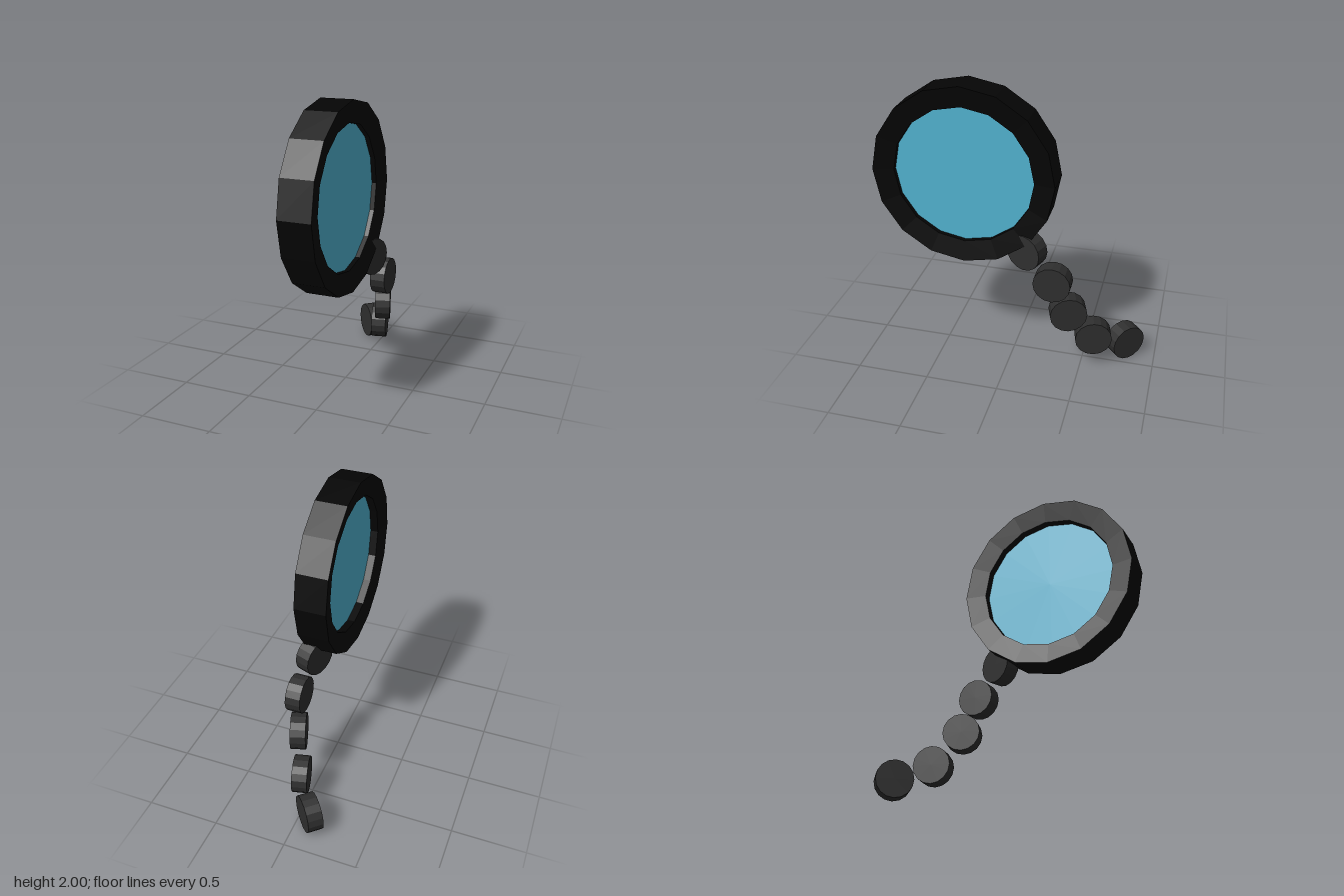
import * as THREE from 'three';

const SIDES = 16;

function material(color) {
  return new THREE.MeshStandardMaterial({ color, flatShading: true });
}

export function createModel() {
  const model = new THREE.Group();
  const black = material(0x050505);
  const charcoal = material(0x2f2f2f);
  const blue = material(0x52b4d2);

  // Round head, its axis along x
  const head = new THREE.Group();
  head.name = 'head';
  head.position.set(0.071, 1.39, 0.305);
  head.rotation.z = -Math.PI / 2;
  model.add(head);

  // Rim: straight outer and inner walls, faces sloping in slightly
  const profile = [
    [0.47, -0.082], [0.61, -0.108], [0.61, 0.108], [0.47, 0.082], [0.47, -0.082],
  ].map(([r, y]) => new THREE.Vector2(r, y));
  const rim = new THREE.Mesh(new THREE.LatheGeometry(profile, SIDES), black);
  rim.name = 'rim';
  head.add(rim);

  // Glass set back inside the opening
  const glass = new THREE.Mesh(new THREE.CylinderGeometry(0.47, 0.47, 0.08, SIDES), blue);
  glass.name = 'glass';
  glass.position.y = 0.011;
  head.add(glass);

  // Curling chain of thick discs: x, y, z, turn about y
  const chain = new THREE.Group();
  chain.name = 'chain';
  model.add(chain);
  const linkGeometry = new THREE.CylinderGeometry(0.127, 0.127, 0.105, SIDES).rotateZ(-Math.PI / 2);
  [
    [0.125, 0.894, -0.116, -0.35],
    [0.162, 0.695, -0.303, 0],
    [0.128, 0.453, -0.406, 0.31],
    [0.045, 0.228, -0.575, 0.24],
    [-0.098, 0.127, -0.786, 0.73],
  ].forEach(([x, y, z, turn], i) => {
    const link = new THREE.Mesh(linkGeometry, charcoal);
    link.name = `link${i + 1}`;
    link.position.set(x, y, z);
    link.rotation.y = turn;
    chain.add(link);
  });

  return model;
}
